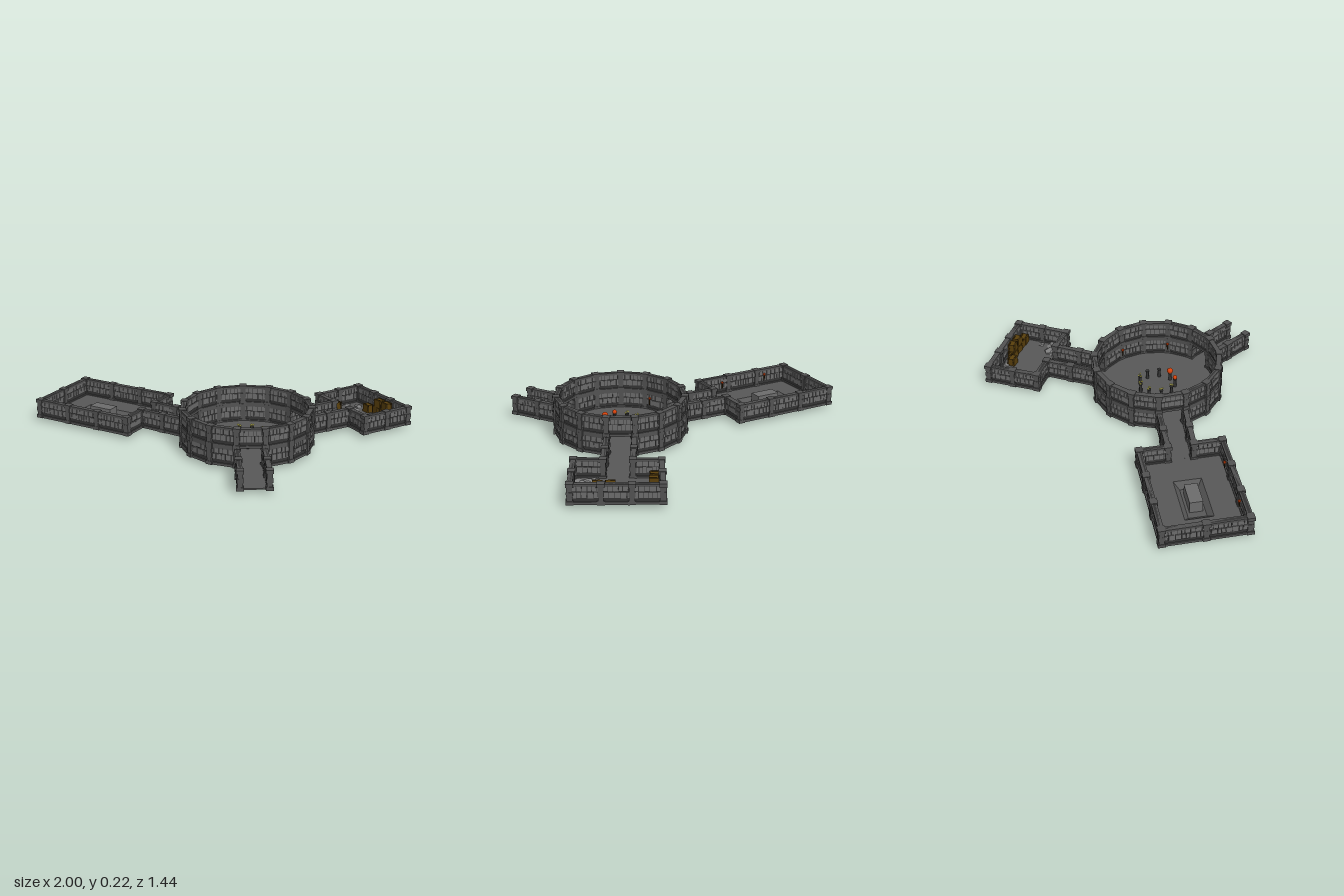
import * as THREE from 'three';
import { mergeGeometries } from 'three/addons/utils/BufferGeometryUtils.js';

const mat = (name, color, side = THREE.FrontSide) =>
  Object.assign(new THREE.MeshStandardMaterial({ color, side }), { name });
const M = {
  floor: mat('floor stone', 0x585858, THREE.DoubleSide),
  brick: mat('brick grey', 0x6c6c6c),
  trim: mat('trim stone', 0x525252),
  mortar: mat('dark mortar', 0x343434),
  rubble: mat('pale rubble', 0x808080),
  wood: mat('crate wood', 0x5a400c),
  strap: mat('dark strap', 0x33240a),
  ember: mat('ember orange', 0xd8430c),
  crystal: mat('pale yellow', 0xe4dd6c),
};
const Y0 = 0.02, TIER = 0.1, FLOOR = 0.027, CX = 0.11, CZ = 0.09, R = 0.328;

let seed = 7;
const rnd = () => (seed = (seed * 16807) % 2147483647) / 2147483647;
const mix = (a, b, t) => [a[0] + (b[0] - a[0]) * t, a[1] + (b[1] - a[1]) * t];
const polar = (deg, r = R) => {
  const t = deg * Math.PI / 180;
  return [CX + r * Math.sin(t), CZ + r * Math.cos(t)];
};
const heading = (a, b) => Math.atan2(a[1] - b[1], b[0] - a[0]);

// Collects geometry by name and material, then merges each bucket into a mesh
class Part {
  constructor(name) { this.name = name; this.buckets = {}; }
  add(name, material, geo) {
    const bucket = this.buckets[name] ??= { material, list: [] };
    bucket.list.push(geo.index ? geo.toNonIndexed() : geo);
  }
  box(name, material, [w, h, d], [x, y, z], frame) {
    this.add(name, material, new THREE.BoxGeometry(w, h, d).translate(x, y, z).applyMatrix4(frame));
  }
  build() {
    const group = new THREE.Group();
    group.name = this.name;
    for (const [name, { material, list }] of Object.entries(this.buckets)) {
      const mesh = new THREE.Mesh(mergeGeometries(list), material);
      mesh.name = name;
      group.add(mesh);
    }
    return group;
  }
}
const frameAt = (p, y, angle) =>
  new THREE.Matrix4().makeRotationY(angle).setPosition(p[0], y, p[1]);

// Wall panel: mortar core, two courses of uneven bricks, foot and cap
function wall(part, a, b, y = Y0) {
  const f = frameAt(a, y, heading(a, b));
  const L = Math.hypot(b[0] - a[0], b[1] - a[1]);
  part.box('wallCore', M.mortar, [L, TIER, 0.014], [L / 2, TIER / 2, 0], f);
  part.box('wallTrim', M.trim, [L, 0.013, 0.026], [L / 2, 0.0065, 0], f);
  part.box('wallTrim', M.trim, [L, 0.012, 0.026], [L / 2, TIER - 0.006, 0], f);
  for (const rowY of [0.033, 0.066]) {
    for (let x = 0.004; x < L - 0.01;) {
      const w = Math.min(0.015 + rnd() * 0.016, L - x);
      const h = 0.026 + rnd() * 0.005;
      part.box('wallBricks', M.brick, [w - 0.003, h, 0.02 + rnd() * 0.004],
        [x + w / 2, rowY - 0.018 + h / 2 + 0.0035 + 0.0, 0].map((v, i) => i === 1 ? rowY + 0.013 : v), f);
      x += w;
    }
  }
}

// Post of stacked blocks with a wide foot and head
function post(part, p, angle, tiers = 1) {
  for (let t = 0; t < tiers; t++) {
    const f = frameAt(p, Y0 + t * TIER, angle);
    part.box('posts', M.trim, [0.026, TIER, 0.03], [0, TIER / 2, 0], f);
    for (const [y, h, w] of [[0.009, 0.018, 0.036], [0.05, 0.022, 0.031], [0.094, 0.018, 0.037]])
      part.box('postBlocks', M.trim, [w, h, w], [0, y, 0], f);
  }
}

// Walls along a path; each leg is split into a number of bays
function run(part, points, bays, ends = true) {
  points.slice(0, -1).forEach((a, i) => {
    const b = points[i + 1], ang = heading(a, b);
    for (let k = 0; k < bays[i]; k++) {
      wall(part, mix(a, b, k / bays[i]), mix(a, b, (k + 1) / bays[i]));
      if (k || i || ends) post(part, mix(a, b, k / bays[i]), ang);
    }
    if (ends && i === points.length - 2) post(part, b, ang);
  });
}

// Thin floor slab from an outline, with an optional hole
function floor(part, points, hole) {
  const toV = ([x, z]) => new THREE.Vector2(x, -z);
  const shape = new THREE.Shape(points.map(toV));
  if (hole) shape.holes.push(new THREE.Path(hole.map(toV)));
  part.add('floor', M.floor, new THREE.ExtrudeGeometry(shape, { depth: FLOOR - Y0, bevelEnabled: false })
    .rotateX(-Math.PI / 2).translate(0, Y0, 0));
}

// Small wall torch
function torch(part, p) {
  part.add('torchHandle', M.strap, new THREE.CylinderGeometry(0.004, 0.003, 0.03, 6).translate(p[0], 0.07, p[1]));
  part.add('torchFlame', M.ember, new THREE.IcosahedronGeometry(0.008, 0).translate(p[0], 0.09, p[1]));
}

function roundHall() {
  const part = new Part('roundHall');
  const ring = Array.from({ length: 15 }, (_, k) => polar(12 + 24 * k));
  floor(part, ring);
  ring.forEach((a, k) => {
    const b = ring[(k + 1) % 15];
    if (k % 5 !== 4) wall(part, a, b);       // every fifth bay is a doorway
    wall(part, a, b, Y0 + TIER);
    post(part, a, (12 + 24 * k) * Math.PI / 180, 2);
  });
  // Ring of nine pedestals, some with glowing stones
  for (let k = 0; k < 9; k++) {
    const [x, z] = polar(k * 40, 0.094);
    part.add('pedestals', M.mortar, new THREE.CylinderGeometry(0.007, 0.009, 0.04, 8).translate(x, FLOOR + 0.02, z));
    part.add('pedestals', M.mortar, new THREE.CylinderGeometry(0.011, 0.009, 0.008, 8).translate(x, FLOOR + 0.044, z));
    if (k === 0 || k === 8)
      part.add('emberStones', M.ember, new THREE.IcosahedronGeometry(k ? 0.012 : 0.016, 1).translate(x, 0.085, z));
    else if (k > 2)
      for (let j = 0; j < 3; j++)
        part.add('yellowCrystals', M.crystal, new THREE.OctahedronGeometry(0.007, 0)
          .translate(x + 0.007 * Math.cos(j * 2.1 + k), 0.08 + j * 0.004, z + 0.007 * Math.sin(j * 2.1 + k)));
  }
  for (const deg of [270, 36, 84]) torch(part, polar(deg, R - 0.022));
  return part.build();
}

// Corridor between two pairs of points
function corridor(name, a, b, c, d) {
  const part = new Part(name);
  floor(part, [a, b, c, d]);
  run(part, [a, b], [2], false);
  run(part, [d, c], [2], false);
  return part;
}

function sunkenRoom(doorA, doorB) {
  const part = new Part('sunkenRoom');
  const back = [-0.283, -0.404], far = [-0.754, -0.703], left = [-0.973, -0.35], near = [-0.503, -0.05];
  const c = [-0.64, -0.385], ang = heading(far, back);
  const rect = (w, d) => [[-1, -1], [1, -1], [1, 1], [-1, 1]].map(([i, j]) => {
    const v = new THREE.Vector3(i * w / 2, 0, j * d / 2).applyMatrix4(frameAt(c, 0, ang));
    return [v.x, v.z];
  });
  const rim = rect(0.27, 0.14), base = rect(0.2, 0.09);
  floor(part, [back, far, left, near], rim);
  run(part, [doorA, back, far, left, near, doorB], [1, 3, 2, 3, 1]);
  // Pit with sloping sides
  const pos = [], idx = [8, 10, 9, 8, 11, 10];
  for (const p of rim) pos.push(p[0], FLOOR, p[1]);
  for (const p of [...base, ...base]) pos.push(p[0], 0.001, p[1]);
  for (let i = 0; i < 4; i++) {
    const j = (i + 1) % 4;
    idx.push(i, i + 4, j, j, i + 4, j + 4);
  }
  const pit = new THREE.BufferGeometry();
  pit.setAttribute('position', new THREE.Float32BufferAttribute(pos, 3));
  pit.setIndex(idx);
  const flat = pit.toNonIndexed();
  flat.computeVertexNormals();
  part.add('pit', M.floor, flat);
  const group = part.build();
  // Stone block standing in the pit
  const block = new THREE.Mesh(new THREE.BoxGeometry(0.13, 0.062, 0.065), M.brick);
  block.name = 'stoneBlock';
  block.position.set(c[0], 0.033, c[1]);
  block.rotation.y = ang;
  group.add(block);
  const torches = new Part('torches');
  torch(torches, [-0.845, -0.29]);
  torch(torches, [-0.608, -0.142]);
  group.add(torches.build());
  return group;
}

function storeRoom(doorA, doorB) {
  const part = new Part('storeRoom');
  const near = [0.73, -0.013], right = [0.975, -0.147], far = [0.77, -0.512], back = [0.535, -0.377];
  floor(part, [near, right, far, back]);
  run(part, [doorA, near, right, far, back, doorB], [1, 2, 3, 2, 1]);
  // Strapped wooden crates: x, z, height off the floor
  for (const [x, z, y] of [[0.587, -0.37, 0], [0.632, -0.388, 0], [0.80, -0.335, 0], [0.847, -0.295, 0],
    [0.875, -0.245, 0], [0.9, -0.2, 0], [0.915, -0.165, 0], [0.853, -0.288, 0.042], [0.882, -0.235, 0.042]]) {
    const f = frameAt([x, z], FLOOR + y, Math.PI / 6 + (rnd() - 0.5) * 0.3);
    part.box('crates', M.wood, [0.04, 0.042, 0.044], [0, 0.021, 0], f);
    for (const s of [-0.013, 0.013])
      part.box('crateStraps', M.strap, [0.005, 0.044, 0.046], [s, 0.0215, 0], f);
  }
  // Broken flat stones set in the floor
  for (const [x, z, s] of [[0.705, -0.445, 0.018], [0.76, -0.425, 0.024], [0.735, -0.37, 0.022], [0.81, -0.37, 0.016],
    [0.715, -0.12, 0.02], [0.75, -0.115, 0.032], [0.775, -0.07, 0.034], [0.83, -0.11, 0.015]])
    part.add('rubble', M.rubble, new THREE.DodecahedronGeometry(s, 0).rotateY(rnd() * 6).scale(1, 0.45, 1.1)
      .translate(x, FLOOR, z));
  return part.build();
}

export function createModel() {
  const model = new THREE.Group();
  model.name = 'dungeon';
  // Front entrance, open at its end
  const front = [[CX - 0.069, 0.69], [CX + 0.069, 0.69]];
  const entry = corridor('entranceCorridor', polar(-12), front[0], front[1], polar(12));
  front.forEach((p) => post(entry, p, 0));
  // Doorways of the two side rooms
  const westA = [-0.359, -0.282], westB = [-0.427, -0.172];
  const eastA = [0.668, -0.137], eastB = [0.598, -0.259];
  model.add(
    roundHall(),
    entry.build(),
    corridor('rightCorridor', polar(228), westA, westB, polar(252)).build(),
    corridor('leftCorridor', polar(108), eastA, eastB, polar(132)).build(),
    sunkenRoom(westA, westB),
    storeRoom(eastA, eastB),
  );
  return model;
}
